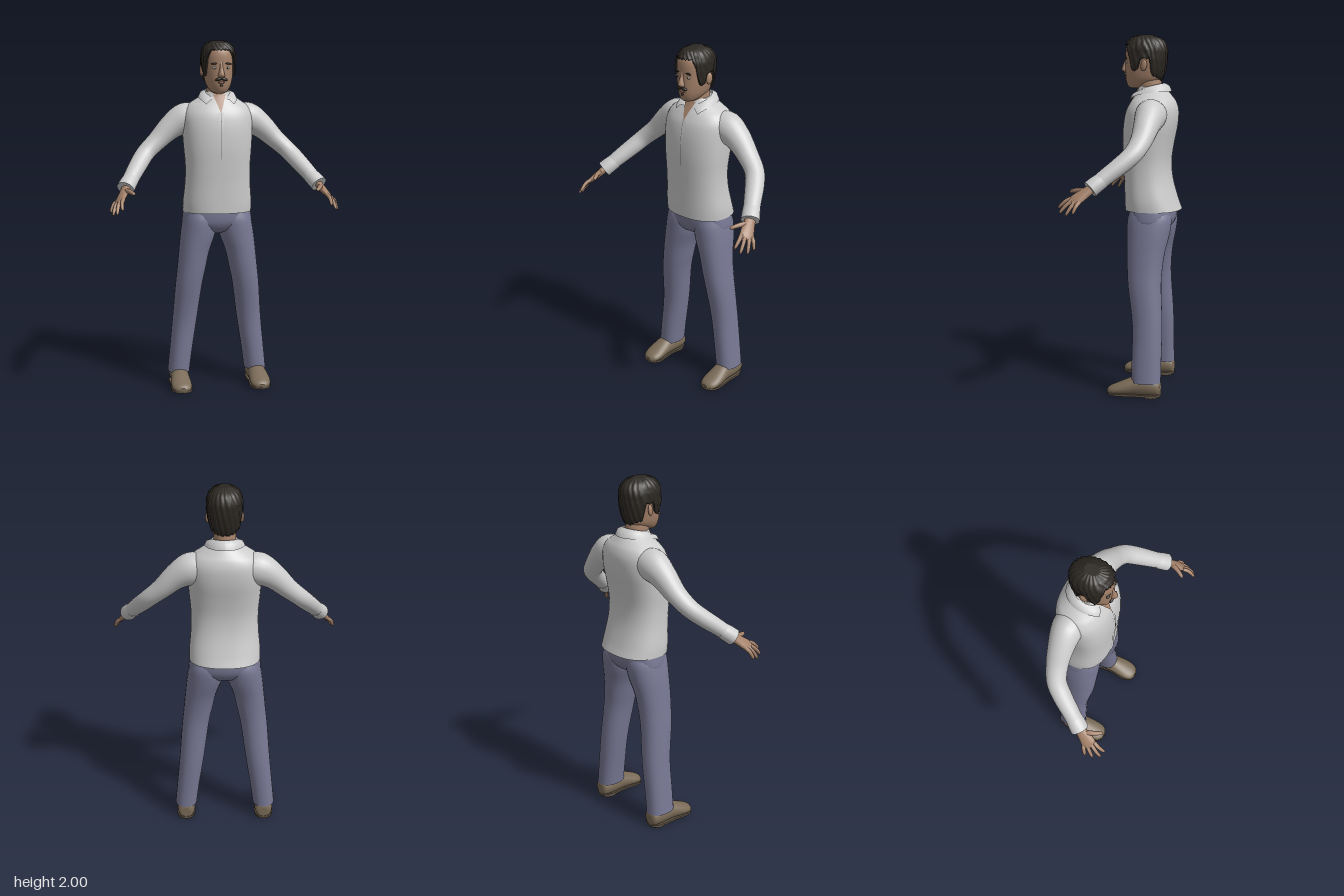
import * as THREE from 'three';

const V = (x, y, z) => new THREE.Vector3(x, y, z);
const SKIN = 0xa5826a, HAIR = 0x2b2722, SHIRT = 0xcccccc, PANTS = 0x787894, SHOE = 0x7a6b57;

// Surface over rings of points; closed rings are capped at both ends
function surface(rings, closed = true) {
  const pos = [], idx = [], n = rings[0].length;
  rings.forEach(r => r.forEach(p => pos.push(p.x, p.y, p.z)));
  for (let i = 0; i < rings.length - 1; i++)
    for (let j = 0; j < (closed ? n : n - 1); j++) {
      const k = (j + 1) % n, a = i * n + j, b = i * n + k;
      idx.push(a, b, a + n, b, b + n, a + n);
    }
  if (closed) [rings[0], rings[rings.length - 1]].forEach((r, end) => {
    const start = pos.length / 3, c = V(0, 0, 0);
    r.forEach(p => { pos.push(p.x, p.y, p.z); c.addScaledVector(p, 1 / n); });
    pos.push(c.x, c.y, c.z);
    for (let j = 0; j < n; j++) {
      const a = start + j, b = start + (j + 1) % n;
      end ? idx.push(a, b, start + n) : idx.push(b, a, start + n);
    }
  });
  const g = new THREE.BufferGeometry();
  g.setAttribute('position', new THREE.Float32BufferAttribute(pos, 3));
  g.setIndex(idx);
  g.computeVertexNormals();
  return g;
}

// Smooth loft through rows [x, y, z, radiusA, radiusB, roundness]; A follows ref
function loft(rows, { ref = V(1, 0, 0), axis = null, segs = 24, steps = 4 } = {}) {
  const path = new THREE.CatmullRomCurve3(rows.map(r => V(r[0], r[1], r[2])), false, 'catmullrom');
  const size = new THREE.CatmullRomCurve3(rows.map(r => V(r[3], r[4], r[5] || 2)), false, 'catmullrom');
  const rings = [], count = (rows.length - 1) * steps;
  for (let i = 0; i <= count; i++) {
    const c = path.getPoint(i / count), s = size.getPoint(i / count);
    const T = axis || path.getTangent(i / count);
    const A = ref.clone().addScaledVector(T, -T.dot(ref)).normalize(), B = T.clone().cross(A);
    const pw = v => Math.sign(v) * Math.abs(v) ** (2 / s.z);
    rings.push(Array.from({ length: segs }, (_, j) => {
      const t = j / segs * Math.PI * 2;
      return c.clone().addScaledVector(A, s.x * pw(Math.cos(t))).addScaledVector(B, s.y * pw(Math.sin(t)));
    }));
  }
  return surface(rings);
}
const UP = { axis: V(0, 1, 0) };

// Body slice from [y, front z, back z, half width, roundness, centre x]
const slice = ([y, f, b, rx, n = 2, x = 0]) => [x, y, (f + b) / 2, rx, (f - b) / 2, n];
function sample(rows, y) {
  let i = 0;
  while (i < rows.length - 2 && rows[i + 1][1] < y) i++;
  const t = THREE.MathUtils.clamp((y - rows[i][1]) / (rows[i + 1][1] - rows[i][1]), 0, 1);
  return rows[i].map((v, k) => v + (rows[i + 1][k] - v) * t);
}

function mirrored(geo) {
  const g = geo.clone();
  if (!g.index) g.setIndex([...Array(g.attributes.position.count).keys()]);
  g.scale(-1, 1, 1);
  const a = g.index.array;
  for (let i = 0; i < a.length; i += 3) [a[i], a[i + 1]] = [a[i + 1], a[i]];
  return g;
}

const ball = (x, y, z, a, b, c, roll = 0) =>
  new THREE.SphereGeometry(1, 16, 12).scale(a, b, c).rotateZ(roll).translate(x, y, z);

const TORSO = [
  [1.03, .04, -.272, .197, 2.4], [1.09, .042, -.25, .197, 2.4], [1.2, .045, -.22, .187, 2.4],
  [1.3, .05, -.212, .186, 2.4], [1.4, .054, -.225, .194, 2.4], [1.5, .05, -.245, .2, 2.4],
  [1.58, .036, -.25, .2, 2.3], [1.63, .012, -.238, .178, 2.2], [1.66, -.006, -.22, .14, 2],
  [1.69, -.022, -.197, .092, 2], [1.715, -.03, -.175, .07, 2]].map(slice);
const HEAD = [
  [1.706, .012, -.03, .02], [1.716, .03, -.07, .043], [1.75, .042, -.15, .067, 2.2],
  [1.8, .045, -.168, .08, 2.2], [1.86, .044, -.178, .086, 2.2], [1.92, .043, -.18, .086, 2.2],
  [1.955, .03, -.168, .075], [1.98, .002, -.135, .052], [1.991, -.04, -.1, .02]].map(slice);

// Hair: shell over the skull with a lower edge that follows the hairline
function hairGeometry() {
  const line = [[0, 1.947], [.65, 1.945], [.85, 1.9], [1.08, 1.81], [1.36, 1.8], [1.5, 1.87],
    [1.85, 1.87], [2.05, 1.78], [3.15, 1.745]].map(([a, y]) => [0, a, y]);
  const rings = [], segs = 72;
  for (let i = 0; i <= 16; i++) {
    const s = Math.max(0, i - 1) / 15, ring = [];
    for (let j = 0; j < segs; j++) {
      const t = j / segs * Math.PI * 2, phi = Math.acos(-Math.sin(t));
      const y = THREE.MathUtils.lerp(sample(line, phi)[2] + .005 * Math.sin(j * 2.3), 1.991, s);
      const [, , z, rx, rz, n] = sample(HEAD, y);
      const pw = v => Math.sign(v) * Math.abs(v) ** (2 / n);
      const d = i === 0 ? -.006 : .011 + .003 * Math.sin(j * 1.9 + i * .7);
      ring.push(V((rx + d) * pw(Math.cos(t)), y + .008 * s, z - (rz + d) * pw(Math.sin(t))));
    }
    rings.push(ring);
  }
  return surface(rings);
}

// Strip lying on the front of the shirt
function frontStrip(y0, y1, halfWidth, lift) {
  const rings = [];
  for (let i = 0; i <= 12; i++) {
    const y = y0 + (y1 - y0) * i / 12, [, , z, rx, rz, n] = sample(TORSO, y), w = halfWidth(i / 12);
    rings.push([-1, -.5, 0, .5, 1].map(k =>
      V(k * w, y, z + rz * (1 - Math.abs(k * w / rx) ** n) ** (1 / n) + lift)));
  }
  return surface(rings, false);
}

// One side of the collar, from the nape to its front tip
function collarGeometry() {
  const rings = [];
  for (let i = 0; i <= 16; i++) {
    const q = i / 16, a = Math.PI * (1 - q * .88), s = Math.sin(a), c = Math.cos(a);
    const top = V(s * .07, 1.735 - .06 * q * q, -.095 + c * .08);
    const low = V(s * .105 + q ** 4 * .04, 1.69 - .045 * q ** 3, -.1 + c * .115);
    const mid = top.clone().lerp(low, .5).add(V(s * .008, .008, c * .008));
    rings.push([top, mid, low]);
  }
  return surface(rings, false);
}

export function createModel() {
  const model = new THREE.Group();
  const add = (name, geo, color, open = false) => {
    const mat = new THREE.MeshStandardMaterial({ color, side: open ? THREE.DoubleSide : THREE.FrontSide });
    const mesh = new THREE.Mesh(geo, mat);
    mesh.name = name;
    model.add(mesh);
  };
  const pair = (name, geo, color, open) => {
    add(name + 'Left', geo, color, open);
    add(name + 'Right', mirrored(geo), color, open);
  };

  // Head and face
  add('head', loft(HEAD, { ...UP, segs: 32 }), SKIN);
  add('neck', loft([[1.6, -.02, -.18, .075], [1.68, -.025, -.165, .062], [1.74, -.02, -.158, .06],
    [1.79, -.02, -.15, .055]].map(slice), UP), SKIN);
  add('hair', hairGeometry(), HAIR);
  add('nose', loft([[0, 1.794, .042, .012, .01], [0, 1.803, .046, .02, .02], [0, 1.816, .047, .017, .021],
    [0, 1.85, .042, .009, .013], [0, 1.88, .038, .007, .006]], { ...UP, segs: 14 }), SKIN);
  add('lips', ball(0, 1.768, .043, .021, .006, .007), 0x8a5f50);
  add('chinTuft', ball(0, 1.752, .04, .009, .007, .006), HAIR);
  pair('moustache', ball(.015, 1.786, .044, .021, .009, .01, -.3), HAIR);
  pair('eye', ball(.036, 1.848, .033, .014, .007, .008), 0xc8c0b8);
  pair('pupil', ball(.036, 1.848, .04, .004, .005, .002), 0x40362e);
  pair('brow', ball(.038, 1.871, .036, .02, .005, .007, -.12), HAIR);
  pair('ear', ball(0, 0, 0, .01, .032, .019).rotateY(-.3).rotateX(-.15).translate(.092, 1.832, -.075), SKIN);

  // Shirt
  add('shirtBody', loft(TORSO, { ...UP, segs: 40 }), SHIRT);
  add('openNeck', frontStrip(1.6, 1.7, t => .001 + .036 * t, .006), SKIN, true);
  add('placket', frontStrip(1.035, 1.6, () => .014, .003), SHIRT, true);
  add('placketSeam', frontStrip(1.34, 1.6, () => .0015, .005), 0x777777, true);
  pair('collar', collarGeometry(), SHIRT, true);
  pair('sleeve', loft([[.1, 1.57, -.13, .07, .08], [.18, 1.56, -.13, .09, .085], [.26, 1.515, -.125, .072, .072],
    [.34, 1.44, -.112, .056, .06], [.41, 1.375, -.083, .05, .054], [.455, 1.32, -.028, .048, .052],
    [.5, 1.26, .045, .044, .047], [.535, 1.212, .1, .04, .043]], { ref: V(0, 1, 0) }), SHIRT);
  pair('cuff', loft([[.51, 1.243, .062, .043, .046], [.528, 1.222, .09, .045, .049],
    [.546, 1.198, .118, .046, .05]], { ref: V(0, 1, 0) }), SHIRT);

  // Hands
  const across = V(-.505, .303, .808);
  pair('palm', loft([[.535, 1.215, .095, .027, .021], [.557, 1.178, .143, .034, .02],
    [.578, 1.148, .183, .04, .016], [.59, 1.13, .206, .034, .009]], { ref: across, segs: 16 }), SKIN);
  const finger = (name, base, tip, r) => {
    const p = t => base.clone().lerp(tip, t).add(V(.25, .3, 0).multiplyScalar(.1 * t * (1 - t)));
    pair(name, loft([[0, r], [.4, r * .95], [.8, r * .8], [.96, r * .55], [1, r * .15]].map(([t, w]) =>
      [...p(t).toArray(), w, w]), { ref: across.clone().add(V(.3, .5, 0)), segs: 10, steps: 3 }), SKIN);
  };
  [['indexFinger', .03, V(.575, 1.1, .28)], ['middleFinger', .01, V(.603, 1.077, .268)],
    ['ringFinger', -.01, V(.622, 1.067, .23)], ['littleFinger', -.03, V(.631, 1.078, .19)]]
    .forEach(([name, k, tip]) => finger(name, V(.58, 1.144, .188).addScaledVector(across, k), tip, .0115));
  finger('thumb', V(.548, 1.188, .14), V(.505, 1.178, .235), .014);

  // Trousers
  add('trouserSeat', loft([[.905, -.06, -.16, .05], [.925, -.015, -.205, .15], [.96, .008, -.232, .198, 2.3],
    [1.0, .015, -.242, .2, 2.4], [1.06, .015, -.24, .19, 2.4]].map(slice), { ...UP, segs: 36 }), PANTS);
  pair('trouserLeg', loft([[.085, -.035, -.2, .063, 2.3, .228], [.2, -.035, -.2, .065, 2.3, .215],
    [.4, -.033, -.2, .071, 2.2, .19], [.6, -.006, -.19, .077, 2.2, .168], [.7, .003, -.192, .082, 2.2, .152],
    [.8, .008, -.204, .088, 2.2, .136], [.9, .012, -.226, .1, 2.2, .113], [.98, .012, -.235, .097, 2.2, .103],
    [1.03, 0, -.22, .085, 2.2, .1]].map(slice), UP), PANTS);

  // Shoes: upper flattened underneath, with a separate sole and heel
  const upper = loft([[.228, .05, -.2, .025, .03], [.228, .056, -.188, .045, .05], [.228, .06, -.14, .053, .058],
    [.229, .06, -.06, .053, .056], [.231, .048, 0, .058, .044], [.231, .036, .05, .058, .033],
    [.23, .028, .085, .045, .024], [.23, .025, .102, .018, .012]], { axis: V(0, 0, 1) });
  const p = upper.attributes.position;
  for (let i = 0; i < p.count; i++) p.setY(i, Math.max(p.getY(i), .014));
  upper.computeVertexNormals();
  pair('shoe', upper, SHOE);
  const outline = new THREE.Shape(new THREE.SplineCurve([[0, -.106], [.042, -.088], [.061, -.04], [.054, .05],
    [.053, .14], [.036, .19], [0, .2], [-.036, .19], [-.053, .14], [-.05, .05], [-.059, -.04],
    [-.042, -.088], [0, -.106]].map(a => new THREE.Vector2(...a))).getPoints(48));
  const sole = new THREE.ExtrudeGeometry(outline, { depth: .012, bevelEnabled: false });
  pair('sole', sole.rotateX(-Math.PI / 2).scale(1, 1, 1).translate(.229, .008, 0), 0x5f5344);
  pair('heel', new THREE.CylinderGeometry(.05, .05, .016, 24).scale(1, 1, 1.1).translate(.228, .008, -.14), 0x5f5344);
  return model;
}
